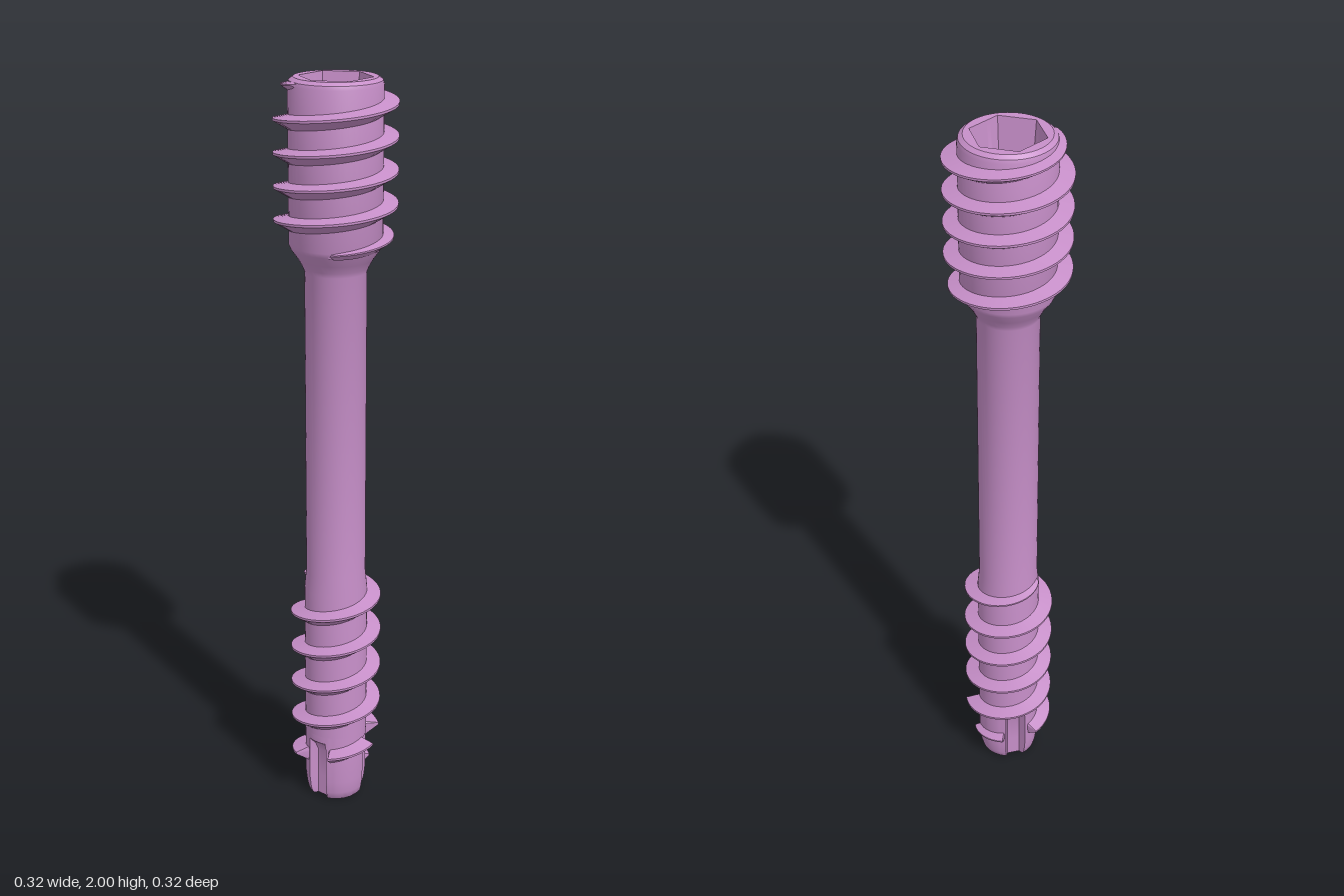
import * as THREE from 'three';
import { toCreasedNormals } from 'three/addons/utils/BufferGeometryUtils.js';

const TAU = Math.PI * 2;
const material = new THREE.MeshStandardMaterial({ color: 0xc78fc9, side: THREE.DoubleSide });

// Surface through a grid of points; point(i, j) returns [radius, angle, y]
function gridSurface(name, rows, cols, point, crease = 0.6) {
  const pos = [], index = [];
  for (let i = 0; i < rows; i++) {
    for (let j = 0; j < cols; j++) {
      const [r, a, y] = point(i, j);
      pos.push(r * Math.cos(a), y, -r * Math.sin(a));
      if (i < rows - 1 && j < cols - 1) {
        const k = i * cols + j;
        index.push(k, k + 1, k + cols, k + 1, k + cols + 1, k + cols);
      }
    }
  }
  const geo = new THREE.BufferGeometry();
  geo.setAttribute('position', new THREE.Float32BufferAttribute(pos, 3));
  geo.setIndex(index);
  const mesh = new THREE.Mesh(toCreasedNormals(geo, crease), material);
  mesh.name = name;
  return mesh;
}

// Radius of a hexagon of corner radius r at angle a
function hexRadius(r, a) {
  const sector = Math.PI / 3;
  const local = ((a + 1e-6) % sector) - sector / 2;
  return r * Math.cos(sector / 2) / Math.cos(local);
}

// Surface of revolution; a third value in a profile point makes that ring hexagonal
function revolve(name, profile, segments = 48) {
  return gridSurface(name, profile.length, segments + 1, (i, j) => {
    const [r, y, hex] = profile[i];
    const a = (j / segments) * TAU;
    return [hex ? hexRadius(r, a) : r, a, y];
  });
}

// Three cutting flutes around the tip
const FLUTE_TOP = 0.17, FLUTE_HALF = 0.31;
function fluteOffset(a) {
  const third = TAU / 3;
  return a - Math.round(a / third) * third;
}

// Right-handed thread; angle 0 is on +x at height y0
function thread(name, { root, crest, pitch, y0, start, end, fadeIn, fadeOut, low, high, fluted }) {
  const steps = Math.round(((end - start) / TAU) * 48);
  const section = [[0, -low], [1, -0.003], [1, 0.003], [0, high]];
  return gridSurface(name, section.length, steps + 1, (i, j) => {
    const a = start + ((end - start) * j) / steps;
    const k = Math.max(0, Math.min(1, (a - start) / fadeIn, (end - a) / fadeOut));
    const grow = Math.sqrt(k);
    const [h, dy] = section[i];
    const y = y0 + (pitch * a) / TAU;
    let r = root - 0.003 + h * (crest - root + 0.003) * grow;
    if (fluted && y < FLUTE_TOP + 0.02 && Math.abs(fluteOffset(a)) < FLUTE_HALF + 0.05) r = 0.05;
    return [r, a, y + dy * (0.3 + 0.7 * grow)];
  }, 0.5);
}

// Fluted tip: rings from the bore mouth outward and up
function flutedTip() {
  const angles = [];
  for (let f = 0; f < 3; f++) {
    const c = (f * TAU) / 3;
    for (const d of [-FLUTE_HALF - 0.04, -FLUTE_HALF, -0.12, 0.12, FLUTE_HALF, FLUTE_HALF + 0.04]) angles.push(c + d);
    for (let s = 1; s < 12; s++) {
      angles.push(c + FLUTE_HALF + 0.04 + (s / 12) * (TAU / 3 - 2 * FLUTE_HALF - 0.08));
    }
  }
  angles.push(angles[0] + TAU);
  // radius, height, flute floor
  const rings = [
    [0.042, 0, 1], [0.07, 0, 0.056], [0.077, 0.008, 0.056], [0.081, 0.025, 0.056],
    [0.085, 0.06, 0.056], [0.085, 0.14, 0.056], [0.085, 0.16, 0.064],
    [0.085, 0.18, 0.085], [0.085, 0.2, 1],
  ];
  return gridSurface('flutedTip', rings.length, angles.length, (i, j) => {
    const [r, y, floor] = rings[i], a = angles[j], d = fluteOffset(a);
    const inside = Math.abs(d) < FLUTE_HALF + 0.01;
    return [inside ? Math.min(r, floor / Math.cos(d)) : r, a, y];
  });
}

export function createModel() {
  const screw = new THREE.Group();
  screw.name = 'cannulatedScrew';

  screw.add(flutedTip());

  // Threaded lower core, plain shaft and flared head
  screw.add(revolve('shaft', [
    [0.085, 0.2], [0.085, 0.63], [0.08, 0.68], [0.08, 1.51],
    [0.085, 1.523], [0.096, 1.543], [0.115, 1.57], [0.12, 1.582],
    [0.12, 1.982], [0.117, 1.992], [0.106, 2],
  ]));

  // Flat rim, tapered hex socket, countersink and through bore
  screw.add(revolve('hexSocketAndBore', [
    [0.106, 2], [0.094, 2, true], [0.077, 1.82, true],
    [0.06, 1.82], [0.042, 1.79], [0.042, 0],
  ]));

  screw.add(thread('headThread', {
    root: 0.12, crest: 0.158, pitch: 0.0845, y0: 1.598, start: -Math.PI * 0.5, end: TAU * 4 + Math.PI * 1.25,
    fadeIn: Math.PI, fadeOut: Math.PI * 0.9, low: 0.028, high: 0.012,
  }));

  screw.add(thread('tipThread', {
    root: 0.085, crest: 0.123, pitch: 0.1063, y0: 0.074, start: -0.3, end: TAU * 5 + Math.PI,
    fadeIn: Math.PI * 1.2, fadeOut: Math.PI, low: 0.032, high: 0.012, fluted: true,
  }));

  return screw;
}
